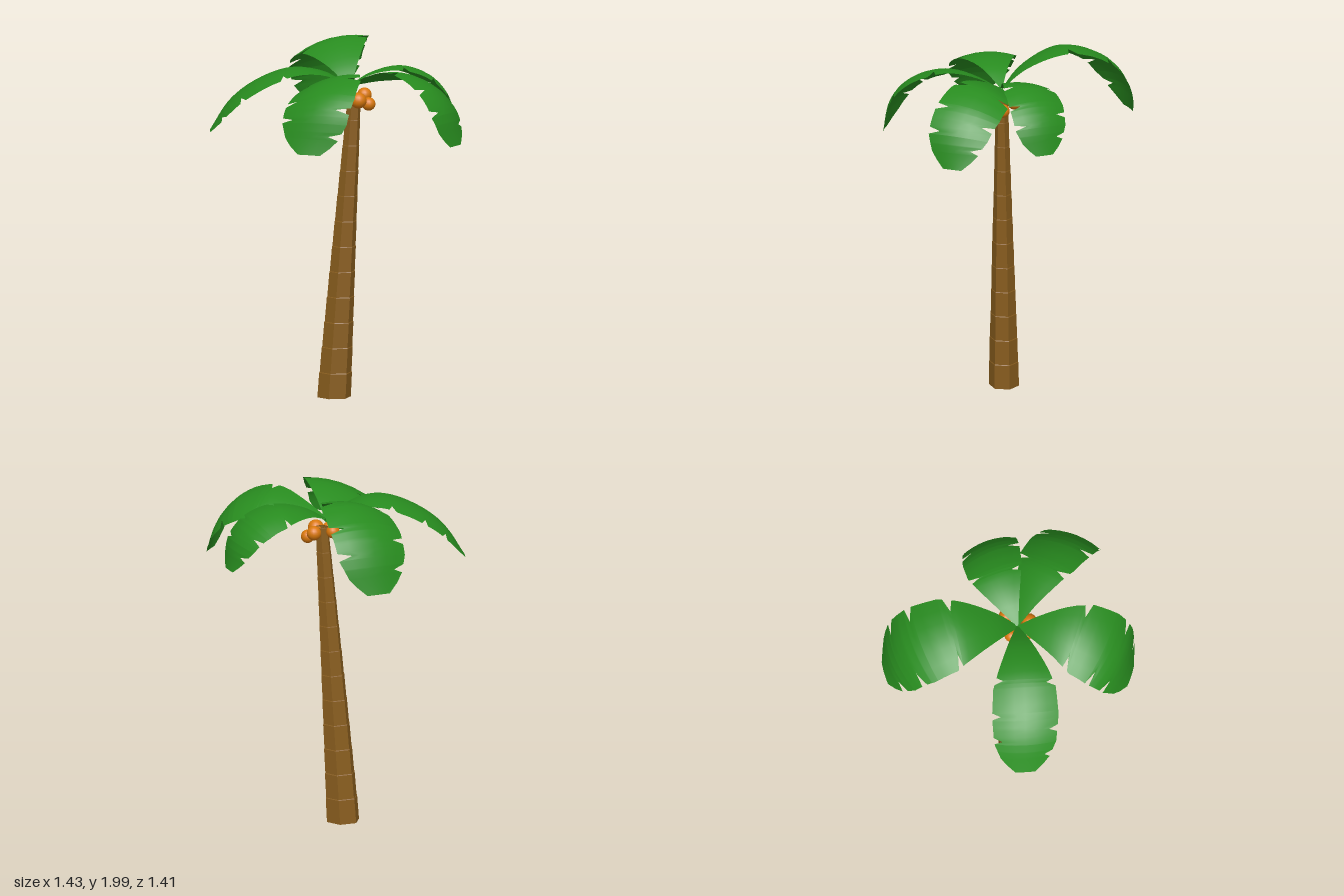
import * as THREE from 'three';

const mat = (name, color, side = THREE.FrontSide) => {
  const m = new THREE.MeshStandardMaterial({ color, side });
  m.name = name;
  return m;
};

// Six-sided leaning trunk, open at the ends, with small stepped bark rings
function trunkGeometry() {
  const rows = 24, bottom = 0.005, height = 1.73;
  const geo = new THREE.CylinderGeometry(1, 1, 1, 6, rows, true).rotateY(-Math.PI / 12);
  const p = geo.attributes.position;
  for (let i = 0; i < p.count; i++) {
    const k = Math.round((p.getY(i) + 0.5) * rows);
    const t = Math.min(1, (Math.floor(k / 2) + (k % 2 ? 0.97 : 0)) / (rows / 2));
    const r = (0.097 - 0.06 * t) * (k % 2 ? 1.02 : 0.99);
    p.setXYZ(i,
      -0.018 + 0.116 * Math.pow(t, 1.04) + p.getX(i) * r,
      bottom + t * height,
      0.025 + 0.025 * t + p.getZ(i) * r * 0.88);
  }
  const flat = geo.toNonIndexed();
  flat.computeVertexNormals();
  return flat;
}

// Half-width of a frond along its length, as a fraction of the widest point
const OUTLINE = [[0, 0.03], [0.17, 0.39], [0.33, 0.74], [0.45, 0.94], [0.62, 1],
  [0.8, 0.93], [0.92, 0.7], [1, 0.3]];
const NOTCHES = { '-1': [0.4, 0.62, 0.78], '1': [0.42, 0.71, 0.88] };
const NOTCH_HALF = 0.022;

function outlineAt(t) {
  for (let i = 1; i < OUTLINE.length; i++) {
    const [t0, w0] = OUTLINE[i - 1], [t1, w1] = OUTLINE[i];
    if (t <= t1) return w0 + (w1 - w0) * (t - t0) / (t1 - t0);
  }
  return OUTLINE[OUTLINE.length - 1][1];
}

function widthAt(t, side, depth) {
  let w = outlineAt(t);
  for (const n of NOTCHES[side]) {
    w *= 1 - depth * Math.max(0, 1 - Math.abs(t - n) / NOTCH_HALF);
  }
  return w;
}

// Arched leaf blade: cross-sections swept along a bowed spine, drooping at both edges
function frondGeometry({ tip, spine, width, roll, bow, droop, depth }) {
  const up = new THREE.Vector3(0, 1, 0);
  const base = new THREE.Vector3(0.07, 0, 0.05);
  const dir = new THREE.Vector3(tip[0], 0, tip[1]).sub(base);
  const reach = dir.length();
  dir.normalize();
  const across = up.clone().cross(dir);
  const curve = new THREE.CatmullRomCurve3(spine.map(([f, y]) =>
    base.clone().addScaledVector(dir, f * reach)
      .addScaledVector(across, bow * Math.sin(Math.PI * f)).setY(y)));

  const cuts = [...NOTCHES['-1'], ...NOTCHES['1']];
  const stations = [...new Set([
    ...Array.from({ length: 21 }, (_, i) => i / 20),
    ...cuts.flatMap((n) => [n - NOTCH_HALF, n, n + NOTCH_HALF]),
  ].map((t) => Math.round(t * 1000) / 1000))].sort((a, b) => a - b);

  const columns = [-1, -0.67, -0.33, 0, 0.33, 0.67, 1];
  const n = columns.length, pos = [], index = [];
  stations.forEach((t, i) => {
    const c = curve.getPointAt(t), tangent = curve.getTangentAt(t);
    // The roll levels out towards the tip
    const side = across.clone().applyAxisAngle(tangent, -roll * (1 - t * t * t));
    const normal = tangent.clone().cross(side);
    for (const v of columns) {
      const s = v * widthAt(t, v < 0 ? -1 : 1, depth);
      const q = c.clone().addScaledVector(side, s * width)
        .addScaledVector(normal, -droop * width * s * s);
      pos.push(q.x, q.y, q.z);
    }
    if (i === 0) return;
    for (let j = 0; j < n - 1; j++) {
      const a = (i - 1) * n + j, b = i * n + j;
      index.push(a, b, a + 1, b, b + 1, a + 1);
    }
  });
  const geo = new THREE.BufferGeometry();
  geo.setAttribute('position', new THREE.Float32BufferAttribute(pos, 3));
  geo.setIndex(index);
  geo.computeVertexNormals();
  return geo;
}

export function createModel() {
  const group = new THREE.Group();
  group.name = 'palmTree';
  const bark = mat('bark brown', 0x8a5e1e, THREE.DoubleSide);
  const leaf = mat('leaf green', 0x288c1f, THREE.DoubleSide);
  const nut = mat('coconut orange', 0xd9780c);

  const add = (name, geo, material) => {
    const mesh = new THREE.Mesh(geo, material);
    mesh.name = name;
    group.add(mesh);
    return mesh;
  };

  add('trunk', trunkGeometry(), bark);

  // Spine points are [fraction of reach, height]; roll turns the blade about its spine
  const fronds = {
    frontFrond: { tip: [-0.12, 0.69], width: 0.22, roll: -0.3, bow: 0, droop: 0.2, depth: 0.38,
      spine: [[0, 1.77], [0.2, 1.84], [0.45, 1.88], [0.73, 1.83], [0.9, 1.72], [1, 1.5]] },
    rightFrond: { tip: [-0.71, 0.1], width: 0.187, roll: 0, bow: 0.018, droop: 0.2, depth: 0.26,
      spine: [[0, 1.78], [0.18, 1.86], [0.42, 1.885], [0.66, 1.82], [0.86, 1.7], [1, 1.53]] },
    backFrond: { tip: [-0.14, -0.695], width: 0.225, roll: 0.24, bow: 0.015, droop: 0.22, depth: 0.36,
      spine: [[0, 1.77], [0.17, 1.89], [0.48, 1.985], [0.78, 1.905], [0.92, 1.77], [1, 1.57]] },
    backLeftFrond: { tip: [0.645, -0.13], width: 0.17, roll: 0.15, bow: 0.035, droop: 0.22, depth: 0.38,
      spine: [[0, 1.78], [0.22, 1.85], [0.5, 1.88], [0.75, 1.83], [0.92, 1.72], [1, 1.56]] },
    frontLeftFrond: { tip: [0.69, 0.4], width: 0.185, roll: 0.32, bow: 0.045, droop: 0.2, depth: 0.38,
      spine: [[0, 1.78], [0.22, 1.84], [0.48, 1.88], [0.75, 1.825], [0.92, 1.7], [1, 1.51]] },
  };
  for (const [name, frond] of Object.entries(fronds)) add(name, frondGeometry(frond), leaf);

  // Coconut cluster: x, y, z, radius
  [[0.125, 1.71, 0.115, 0.045], [0.178, 1.68, 0.053, 0.038], [0.15, 1.72, -0.015, 0.041],
    [0.04, 1.715, 0.015, 0.038], [0.055, 1.705, 0.1, 0.038]].forEach(([x, y, z, r], i) => {
    add(`coconut${i + 1}`, new THREE.SphereGeometry(r, 18, 12), nut).position.set(x, y, z);
  });

  return group;
}
